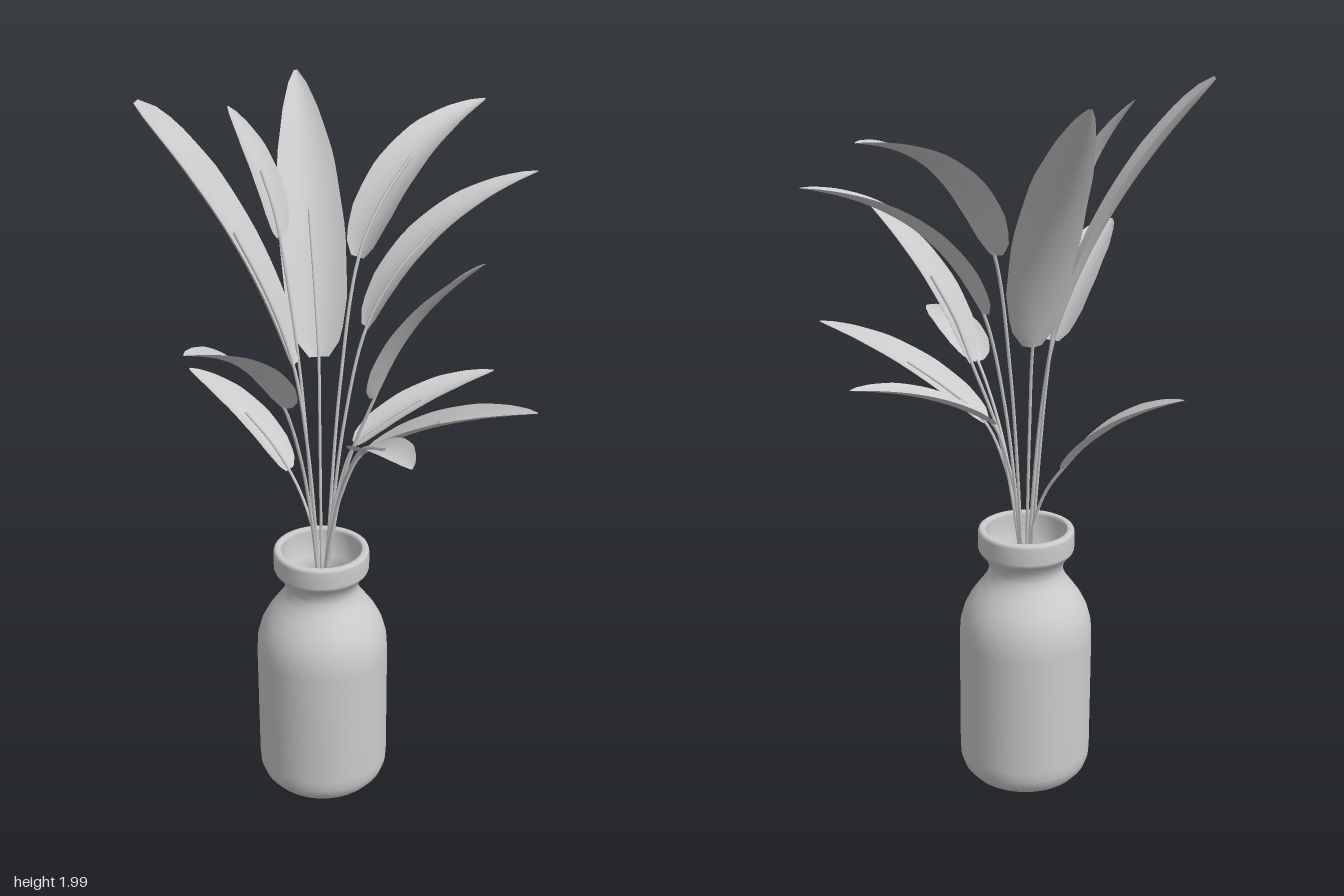
import * as THREE from 'three';

const V = (x, y, z) => new THREE.Vector3(x, y, z);
const UP = V(0, 1, 0);
const AXIS = V(-0.067, 0, -0.055); // jar centre line

// base point, tip point, full width, arch height
const LEAVES = [
  { base: V(-0.03, 1.31, -0.12), tip: V(0.14, 1.98, -0.51), width: 0.18, arch: 0.05 },
  { base: V(-0.12, 1.31, -0.1), tip: V(-0.41, 1.99, -0.365), width: 0.19, arch: 0.05, blunt: true },
  { base: V(-0.1, 0.97, -0.17), tip: V(-0.25, 1.205, -0.46), width: 0.12, arch: 0.035 },
  { base: V(-0.108, 1.64, -0.18), tip: V(-0.165, 1.955, -0.335), width: 0.1, arch: 0.025 },
  { base: V(0.09, 1.57, -0.11), tip: V(0.56, 1.91, -0.205), width: 0.16, arch: 0.08 },
  { base: V(0.07, 1.4, -0.04), tip: V(0.55, 1.77, 0.05), width: 0.15, arch: 0.08 },
  { base: V(0.04, 1.24, 0.05), tip: V(0.187, 1.655, 0.31), width: 0.15, arch: 0.04 },
  { base: V(0.01, 1.07, 0.03), tip: V(0.25, 1.3, 0.465), width: 0.14, arch: 0.035 },
  { base: V(0.02, 1.08, -0.015), tip: V(0.42, 1.235, 0.065), width: 0.12, arch: 0.03 },
  { base: V(-0.22, 1.26, 0.02), tip: V(-0.565, 1.53, 0.165), width: 0.15, arch: 0.045 },
  { base: V(-0.1, 1.18, 0.2), tip: V(-0.155, 1.27, 0.505), width: 0.13, arch: 0.025 },
];

// half-width fraction along the blade
const OUTLINE = [[0, 0.3], [0.06, 0.68], [0.2, 0.92], [0.42, 1], [0.68, 0.85], [0.86, 0.52], [0.95, 0.27], [1, 0.05]];
const BLUNT = [[0, 0.3], [0.06, 0.62], [0.2, 0.82], [0.45, 0.95], [0.7, 1], [0.88, 0.82], [0.96, 0.55], [1, 0.2]];

function sample(table, t) {
  for (let i = 1; i < table.length; i++) {
    const [t0, w0] = table[i - 1], [t1, w1] = table[i];
    if (t <= t1) return w0 + (w1 - w0) * (t - t0) / (t1 - t0);
  }
  return table[table.length - 1][1];
}

// Arched centre line of a blade
function bladeCurve({ base, tip, arch }) {
  const chord = tip.clone().sub(base).normalize();
  const side = chord.clone().cross(UP).normalize();
  const lift = side.clone().cross(chord);
  const control = base.clone().lerp(tip, 0.48).addScaledVector(lift, arch * 2);
  return new THREE.QuadraticBezierCurve3(base, control, tip);
}

// Blade: cupped cross-sections swept along the centre line
function bladeGeometry(leaf, curve) {
  const rows = 20, cols = 8, positions = [], index = [];
  const side = leaf.tip.clone().sub(leaf.base).cross(UP).normalize();
  for (let r = 0; r <= rows; r++) {
    const t = r / rows, p = curve.getPoint(t);
    const lift = side.clone().cross(curve.getTangent(t)).normalize();
    const half = leaf.width / 2 * sample(leaf.blunt ? BLUNT : OUTLINE, t);
    for (let c = 0; c <= cols; c++) {
      const u = c / cols * 2 - 1;
      const q = p.clone().addScaledVector(side, half * u)
        .addScaledVector(lift, half * 0.32 * (u * u - 0.25));
      positions.push(q.x, q.y, q.z);
      if (r < rows && c < cols) {
        const a = r * (cols + 1) + c, b = a + cols + 1;
        index.push(a, a + 1, b, a + 1, b + 1, b);
      }
    }
  }
  const g = new THREE.BufferGeometry();
  g.setAttribute('position', new THREE.Float32BufferAttribute(positions, 3));
  g.setIndex(index);
  g.computeVertexNormals();
  return g;
}

// Jar: outer wall, rolled collar, then inner wall down to the floor
function jarGeometry() {
  const outer = [
    [0, 0], [0.12, 0], [0.135, 0.003], [0.158, 0.014], [0.176, 0.035], [0.185, 0.06], [0.187, 0.09],
    [0.187, 0.44], [0.184, 0.485], [0.173, 0.525], [0.155, 0.56], [0.132, 0.592], [0.113, 0.617],
    [0.104, 0.64], [0.104, 0.658], [0.111, 0.677], [0.124, 0.693], [0.131, 0.701], [0.134, 0.709],
    [0.134, 0.757], [0.132, 0.764], [0.127, 0.767],
  ];
  const inner = [
    [0.117, 0.767], [0.113, 0.764], [0.112, 0.757], [0.112, 0.71], [0.1, 0.685], [0.092, 0.655],
    [0.096, 0.625], [0.125, 0.575], [0.16, 0.52], [0.174, 0.44], [0.174, 0.08], [0.15, 0.03], [0, 0.02],
  ];
  return new THREE.LatheGeometry([...outer, ...inner].map(([r, y]) => new THREE.Vector2(r, y)), 64);
}

export function createModel() {
  const model = new THREE.Group();
  model.name = 'pottedPlant';
  const material = new THREE.MeshStandardMaterial({ color: 0xcccccc, side: THREE.DoubleSide });
  const add = (parent, name, geometry) => {
    const mesh = new THREE.Mesh(geometry, material);
    mesh.name = name;
    parent.add(mesh);
    return mesh;
  };

  add(model, 'jar', jarGeometry()).position.copy(AXIS);

  LEAVES.forEach((leaf, i) => {
    const group = new THREE.Group();
    group.name = `leaf${i + 1}`;
    const curve = bladeCurve(leaf);
    add(group, 'blade', bladeGeometry(leaf, curve));

    // Stem rises through the neck and carries on as the midrib
    const at = (k, y) => V(AXIS.x + (leaf.base.x - AXIS.x) * k, y, AXIS.z + (leaf.base.z - AXIS.z) * k);
    const stem = new THREE.CatmullRomCurve3([
      at(0.02, 0.1), at(0.06, 0.55), at(0.18, 0.77),
      at(0.52, 0.77 + (leaf.base.y - 0.77) * 0.58),
      leaf.base, curve.getPoint(0.25), curve.getPoint(0.5),
    ]);
    add(group, 'stem', new THREE.TubeGeometry(stem, 48, 0.0045, 6));
    model.add(group);
  });
  return model;
}
